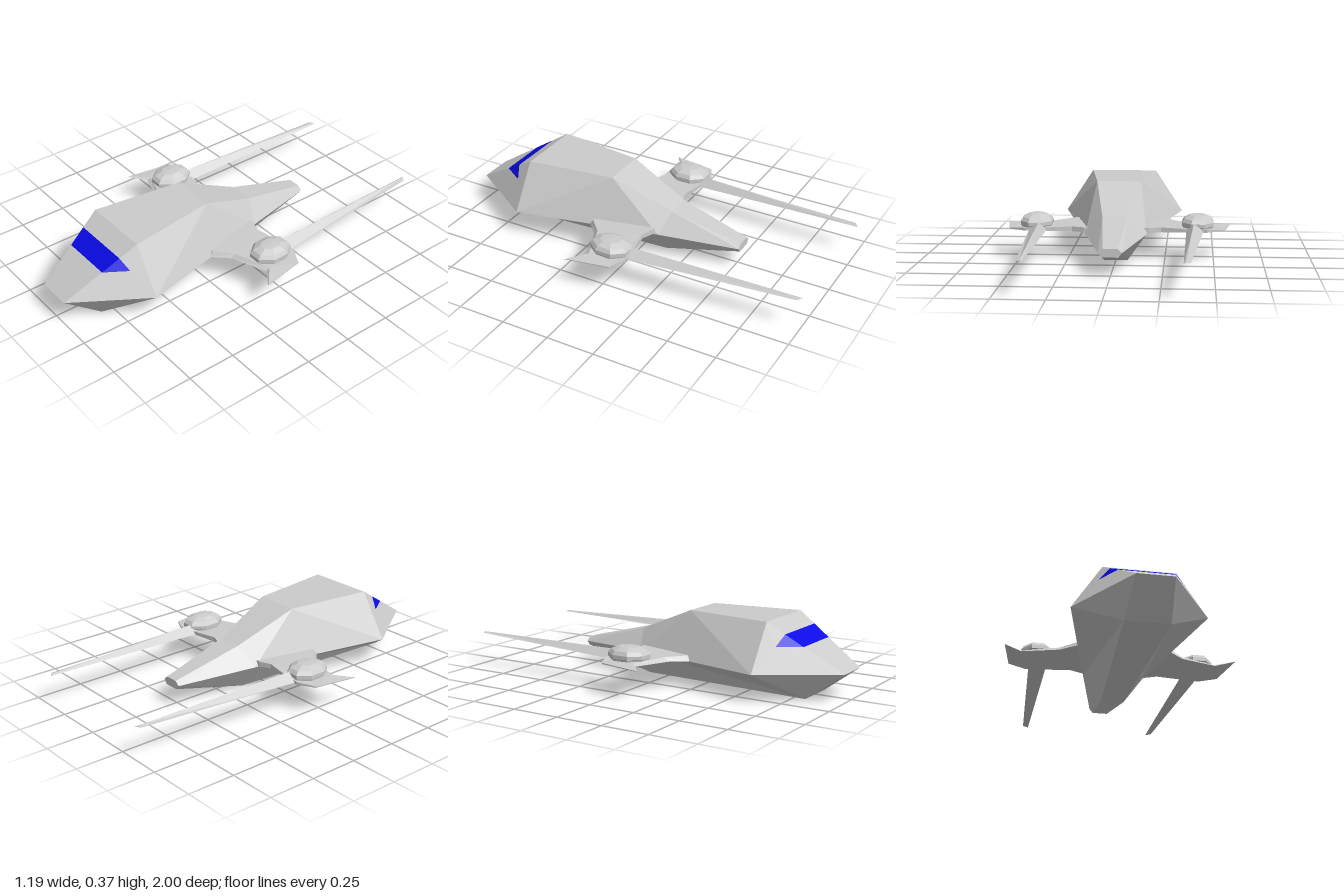
import * as THREE from 'three';

const grey = new THREE.MeshStandardMaterial({ color: 0xcccccc, flatShading: true });
const blue = new THREE.MeshStandardMaterial({ color: 0x0a0ae6, flatShading: true });

function fromTriangles(tris) {
  const g = new THREE.BufferGeometry();
  g.setAttribute('position', new THREE.Float32BufferAttribute(tris.flat(2), 3));
  g.computeVertexNormals();
  return g;
}

function addMesh(parent, name, geometry, material = grey) {
  const mesh = new THREE.Mesh(geometry, material);
  mesh.name = name;
  parent.add(mesh);
}

// Copy a geometry to the other side of x = 0, keeping its faces outward
function mirrored(geometry) {
  const p = (geometry.index ? geometry.toNonIndexed() : geometry).attributes.position;
  const tris = [];
  for (let i = 0; i < p.count; i += 3) {
    tris.push([i, i + 2, i + 1].map(k => [-p.getX(k), p.getY(k), p.getZ(k)]));
  }
  return fromTriangles(tris);
}

// Hull corners on the left half; "~" in a face means the mirrored corner
const HULL = {
  A: [0.18, 0.37, 0.63],    // roof front
  B: [0.118, 0.37, 0.165],  // roof rear
  C: [0.066, 0.235, -0.155],// spine
  D: [0.035, 0.14, -0.53],  // tail top
  T: [0.058, 0.12, -0.53],  // tail side
  E: [0.04, 0.097, -0.53],  // tail bottom
  M: [0.157, 0.135, -0.12], // side rear
  W: [0.33, 0.14, 0.63],    // widest point
  N: [0.09, 0.14, 1.0],     // nose
  F: [0.11, 0, 0.81],       // belly front
  R: [0.06, 0, -0.12],      // belly rear
  P: [0.1585, 0.315, 0.7185], // window top
  Q: [0.137, 0.26, 0.807],    // window bottom
  S: [0.21, 0.26, 0.695],     // window side corner
};
const SIDE_FACES = ['A P S', 'A S W', 'S Q N', 'S N W', 'A B W', 'B M W', 'B C M', 'C D T M',
  'N F W', 'W F M', 'F R M', 'R E T M'];
const MIDDLE_FACES = ['A A~ P~ P', 'Q Q~ N~ N', 'A A~ B~ B', 'B B~ C~ C', 'C C~ D~ D',
  'N N~ F~ F', 'F F~ R~ R', 'R R~ E~ E', 'D T E E~ T~ D~'];

// Fan each face into triangles, all turned away from the hull centre
function hullGeometry(sideFaces, middleFaces) {
  const flip = f => f.split(' ').map(k => k + '~').join(' ');
  const corner = k => {
    const [x, y, z] = HULL[k[0]];
    return k.length > 1 ? [-x, y, z] : [x, y, z];
  };
  const centre = new THREE.Vector3(0, 0.14, 0.2);
  const tris = [];
  for (const face of [...sideFaces, ...sideFaces.map(flip), ...middleFaces]) {
    const c = face.split(' ').map(corner);
    for (let i = 1; i < c.length - 1; i++) {
      const [a, b, d] = [c[0], c[i], c[i + 1]].map(v => new THREE.Vector3(...v));
      const n = b.clone().sub(a).cross(d.clone().sub(a));
      const out = n.dot(a.clone().sub(centre)) > 0;
      tris.push(out ? [c[0], c[i], c[i + 1]] : [c[0], c[i + 1], c[i]]);
    }
  }
  return fromTriangles(tris);
}

// Wing plate: outline points are [x, z, bottom y, top y, inset of the top edge in z]
function wingGeometry() {
  const outline = [
    [0.1, 0.235, 0.138, 0.165, 0.02], [0.235, 0.235, 0.138, 0.165, 0.02],
    [0.315, 0.16, 0.142, 0.163, 0.02], [0.505, 0.095, 0.147, 0.16, 0.02],
    [0.595, 0.16, 0.149, 0.152, 0.005], [0.555, -0.07, 0.149, 0.155, 0],
    [0.465, -0.115, 0.147, 0.162, 0], [0.35, -0.1, 0.145, 0.163, 0],
    [0.23, -0.075, 0.14, 0.165, 0], [0.165, -0.1, 0.138, 0.165, 0], [0.1, -0.1, 0.138, 0.165, 0],
  ];
  const low = outline.map(([x, z, y]) => [x, y, z]);
  const high = outline.map(([x, z, , y, inset]) => [x, y, z - inset]);
  const flat = outline.map(([x, z]) => new THREE.Vector2(x, -z));
  const tris = [];
  for (const f of THREE.ShapeUtils.triangulateShape(flat, [])) {
    const [a, b, c] = f.map(i => flat[i]);
    const ccw = (b.x - a.x) * (c.y - a.y) - (b.y - a.y) * (c.x - a.x) > 0;
    const [i, j, k] = ccw ? f : [f[0], f[2], f[1]];
    tris.push([high[i], high[j], high[k]], [low[i], low[k], low[j]]);
  }
  // Rim, walked counter-clockwise as seen from above
  for (let a = 0; a < outline.length; a++) {
    const b = (a + 1) % outline.length;
    tris.push([low[a], low[b], high[b]], [low[a], high[b], high[a]]);
  }
  return fromTriangles(tris);
}

// Tapering boom with a triangular section
function boomGeometry() {
  const root = [[0.36, 0.147, -0.06], [0.452, 0.15, -0.06], [0.4, 0.192, -0.06]];
  const tip = [[0.355, 0.17, -1], [0.386, 0.171, -0.98], [0.365, 0.176, -0.99]];
  const tris = [[root[0], root[1], root[2]], [tip[0], tip[2], tip[1]]];
  for (let i = 0; i < 3; i++) {
    const j = (i + 1) % 3;
    tris.push([root[i], tip[i], tip[j]], [root[i], tip[j], root[j]]);
  }
  return fromTriangles(tris);
}

// Faceted pod: short wall under a low dome, longer along z
function podGeometry() {
  const profile = [[0.93, 0.155], [0.95, 0.165], [1, 0.168], [1, 0.187], [0.86, 0.206], [0.5, 0.222], [0, 0.226]]
    .map(([r, y]) => new THREE.Vector2(r, y));
  const g = new THREE.LatheGeometry(profile, 8, Math.PI / 8);
  g.scale(0.088, 1, 0.112);
  g.translate(0.419, 0, -0.003);
  return g;
}

export function createModel() {
  const model = new THREE.Group();
  model.name = 'spacecraft';

  addMesh(model, 'hull', hullGeometry(SIDE_FACES, MIDDLE_FACES));
  addMesh(model, 'cockpitWindow', hullGeometry(['P S Q'], ['P P~ Q~ Q']), blue);

  const parts = { Wing: wingGeometry(), Boom: boomGeometry(), Pod: podGeometry() };
  for (const [name, geometry] of Object.entries(parts)) {
    addMesh(model, 'left' + name, geometry);
    addMesh(model, 'right' + name, mirrored(geometry));
  }
  return model;
}
